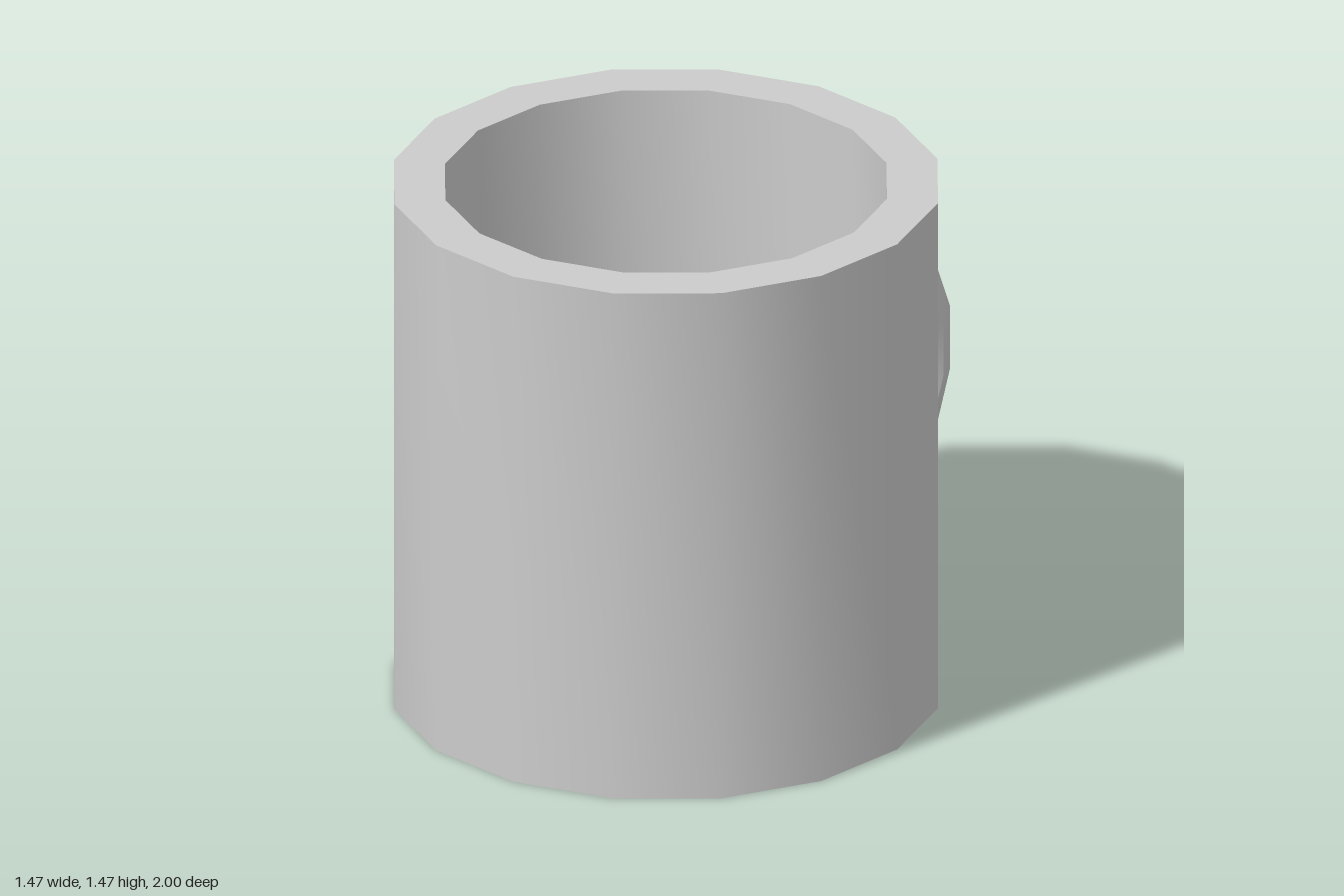
import * as THREE from 'three';
import { toCreasedNormals } from 'three/addons/utils/BufferGeometryUtils.js';

const CREASE = Math.PI / 6;

// Octagonal tube swept along a path of [z, y] points in the x = 0 plane
function sweepHandle(path, radius, sides) {
  const positions = [];
  const index = [];
  path.forEach(([z, y], i) => {
    const before = path[Math.max(i - 1, 0)];
    const after = path[Math.min(i + 1, path.length - 1)];
    const tz = after[0] - before[0];
    const ty = after[1] - before[1];
    const len = Math.hypot(tz, ty);
    // in-plane normal, pointing away from the cup
    const nz = -ty / len;
    const ny = tz / len;
    for (let j = 0; j < sides; j++) {
      const a = (j / sides) * Math.PI * 2;
      const c = Math.cos(a) * radius;
      positions.push(Math.sin(a) * radius, y + ny * c, z + nz * c);
      if (i < path.length - 1) {
        const p = i * sides + j;
        const q = i * sides + ((j + 1) % sides);
        index.push(p, p + sides, q, q, p + sides, q + sides);
      }
    }
  });
  const geometry = new THREE.BufferGeometry();
  geometry.setAttribute('position', new THREE.Float32BufferAttribute(positions, 3));
  geometry.setIndex(index);
  return toCreasedNormals(geometry, CREASE);
}

export function createModel() {
  const group = new THREE.Group();
  group.name = 'mug';
  const ceramic = new THREE.MeshStandardMaterial({ color: 0xcccccc });
  ceramic.name = 'grey ceramic';

  // Cup: outer wall, flat rim, inner wall and floor
  const R = 0.735, r = 0.597, H = 1.47, floor = 0.135;
  const profile = [[0, 0], [R, 0], [R, H], [r, H], [r, floor], [0, floor]]
    .map(([x, y]) => new THREE.Vector2(x, y));
  const cup = new THREE.Mesh(
    toCreasedNormals(new THREE.LatheGeometry(profile, 16), CREASE), ceramic);
  cup.name = 'cup';
  cup.position.z = 0.265;
  group.add(cup);

  // Handle: upper half of the curve, mirrored for the lower half
  const midY = 0.578;
  const half = [[-0.87, 0.07], [-0.815, 0.19], [-0.69, 0.308], [-0.525, 0.38], [-0.4, 0.392]];
  const path = [
    ...half.slice().reverse().map(([z, y]) => [z, midY - y]),
    ...half.map(([z, y]) => [z, midY + y]),
  ];
  const handle = new THREE.Mesh(sweepHandle(path, 0.133, 8), ceramic);
  handle.name = 'handle';
  group.add(handle);

  return group;
}
